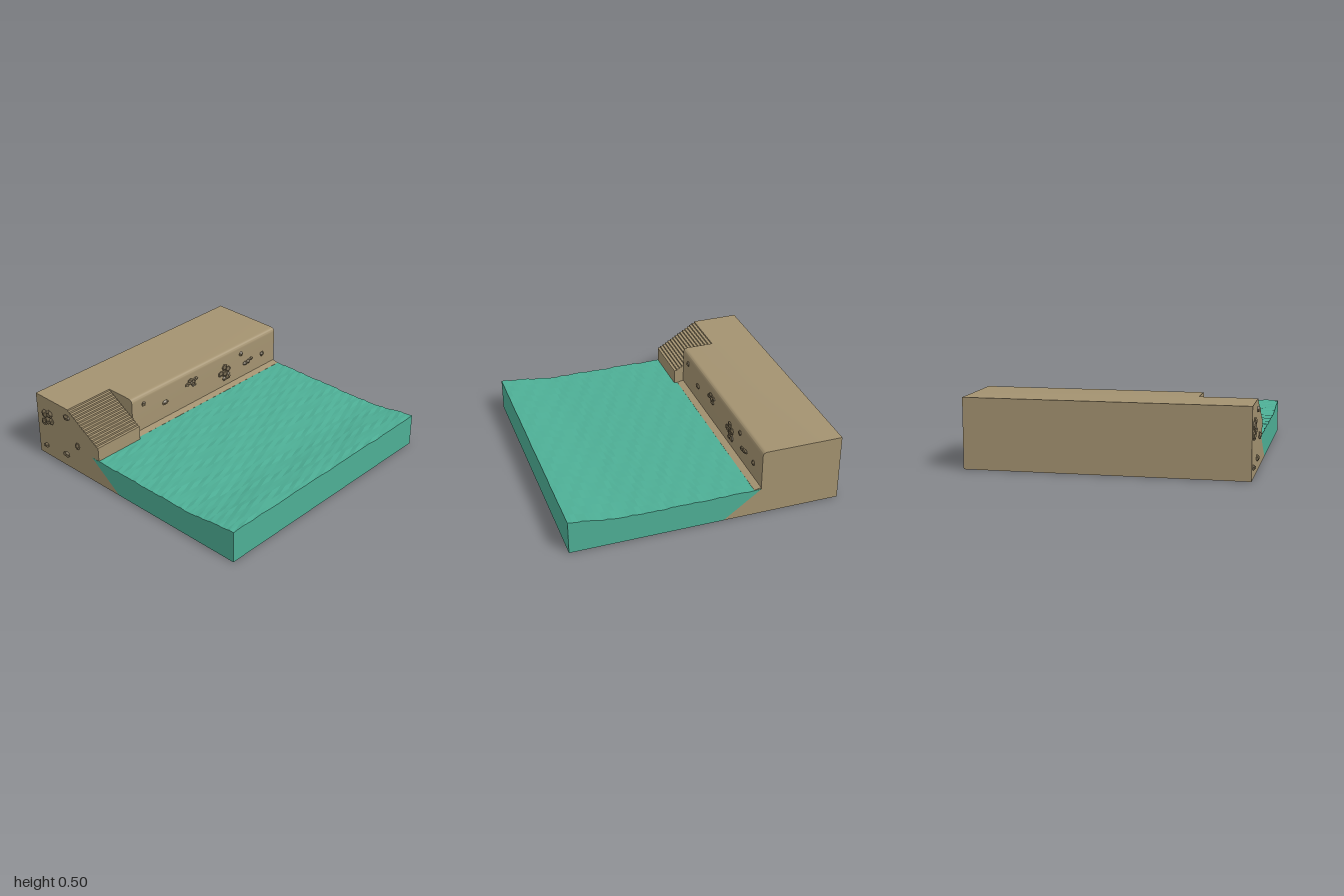
import * as THREE from 'three';
import { toCreasedNormals } from 'three/addons/utils/BufferGeometryUtils.js';

const LEFT = -0.98, RIGHT = 1, STAIR_X = -0.575;
const BACK = -0.99, FRONT = 0.99, WALL = -0.395;

const sand = new THREE.MeshStandardMaterial({ color: 0xa39270 });
const stone = new THREE.MeshStandardMaterial({ color: 0x75684f, flatShading: true });
const sea = new THREE.MeshStandardMaterial({ color: 0x4dae95, flatShading: true });

function addMesh(parent, name, geometry, material) {
  const mesh = new THREE.Mesh(geometry, material);
  mesh.name = name;
  parent.add(mesh);
  return mesh;
}

// Extrudes a side profile (drawn with -z to the right) from x0 to x1
function extrudeAlongX(shape, x0, x1) {
  const g = new THREE.ExtrudeGeometry(shape, { depth: x1 - x0, bevelEnabled: false, curveSegments: 8 });
  g.rotateY(Math.PI / 2).translate(x0, 0, 0);
  return toCreasedNormals(g, 0.5);
}

// Shared underwater part of the profile: base and sloping foot
function startProfile() {
  const s = new THREE.Shape();
  s.moveTo(-BACK, 0);
  s.lineTo(-BACK, 0.5);
  return s;
}
function endProfile(s) {
  s.lineTo(-WALL, 0.2);
  s.lineTo(0.12, 0);
  s.closePath();
  return s;
}

// Quay with a rounded front edge
function quayShape() {
  const s = startProfile(), r = 0.035;
  s.lineTo(-WALL + r, 0.5);
  s.quadraticCurveTo(-WALL, 0.5, -WALL, 0.5 - r);
  return endProfile(s);
}

// Quay end cut into a flight of steps
function stairShape() {
  const s = startProfile(), steps = 15, top = -0.635, foot = -0.32;
  const run = (foot - top) / steps, rise = 0.19 / steps;
  s.lineTo(-top, 0.5);
  for (let i = 1; i <= steps; i++) {
    s.lineTo(-(top + (i - 1) * run), 0.5 - i * rise);
    s.lineTo(-(top + i * run), 0.5 - i * rise);
  }
  s.lineTo(-foot, 0.2);
  return endProfile(s);
}

// Rippled water with a swell rising toward the front
function waterGeometry() {
  const g = new THREE.BoxGeometry(RIGHT - LEFT, 1, FRONT - WALL, 22, 1, 40);
  g.translate((LEFT + RIGHT) / 2, 0.5, (FRONT + WALL) / 2);
  const p = g.attributes.position;
  for (let i = 0; i < p.count; i++) {
    const x = p.getX(i), z = p.getZ(i);
    if (p.getY(i) > 0.5) {
      const swell = 0.045 * THREE.MathUtils.smoothstep(z, 0.55, 1.0);
      const ripple = Math.sin(x * 11 + z * 17) + Math.sin(x * 23 - z * 41 + 1) + Math.sin(x * 37 + z * 71 + 2);
      const calm = THREE.MathUtils.smoothstep(z, WALL, -0.25);
      p.setY(i, 0.199 + swell + 0.0022 * ripple * calm);
    } else {
      p.setZ(i, THREE.MathUtils.mapLinear(z, WALL, FRONT, -0.12, FRONT));
    }
  }
  g.computeVertexNormals();
  return g;
}

// Embedded stones: [across, height, half width, half height]
const wallStones = [
  [-0.46, 0.42, 0.02, 0.022], [-0.24, 0.34, 0.033, 0.02],
  [0.0, 0.39, 0.03, 0.017], [0.03, 0.415, 0.028, 0.018], [0.055, 0.385, 0.03, 0.022],
  [0.085, 0.41, 0.026, 0.017], [0.065, 0.365, 0.025, 0.014],
  [0.37, 0.33, 0.032, 0.028], [0.41, 0.375, 0.03, 0.03], [0.45, 0.345, 0.03, 0.03],
  [0.415, 0.315, 0.03, 0.028], [0.45, 0.285, 0.03, 0.033], [0.41, 0.275, 0.022, 0.02],
  [0.6, 0.42, 0.02, 0.022], [0.65, 0.318, 0.028, 0.018], [0.685, 0.322, 0.028, 0.02],
  [0.715, 0.333, 0.023, 0.014], [0.85, 0.325, 0.022, 0.022],
];
const endStones = [
  [-0.9, 0.36, 0.035, 0.035], [-0.85, 0.375, 0.035, 0.035], [-0.87, 0.315, 0.035, 0.035],
  [-0.91, 0.29, 0.03, 0.03], [-0.83, 0.32, 0.025, 0.03],
  [-0.65, 0.43, 0.035, 0.025], [-0.545, 0.23, 0.022, 0.03],
  [-0.68, 0.1, 0.035, 0.025], [-0.91, 0.08, 0.028, 0.02],
];

function stoneGroup(name, list) {
  const group = new THREE.Group();
  group.name = name;
  list.forEach(([a, y, w, h], i) => {
    const g = new THREE.DodecahedronGeometry(1);
    g.rotateZ(i * 1.3).rotateX(i * 0.7).scale(w, h, 0.018);
    addMesh(group, 'stone', g, stone).position.set(a, y, 0);
  });
  return group;
}

export function createModel() {
  const model = new THREE.Group();
  model.name = 'harbourQuay';

  addMesh(model, 'quay', extrudeAlongX(quayShape(), STAIR_X, RIGHT), sand);
  addMesh(model, 'stairs', extrudeAlongX(stairShape(), LEFT, STAIR_X), sand);
  addMesh(model, 'water', waterGeometry(), sea);

  // Narrow sloping shore at the foot of the wall
  const shore = new THREE.Shape([
    new THREE.Vector2(0.4, 0.19), new THREE.Vector2(0.4, 0.212),
    new THREE.Vector2(0.345, 0.2), new THREE.Vector2(0.345, 0.19),
  ]);
  addMesh(model, 'shore', extrudeAlongX(shore, STAIR_X, RIGHT - 0.004), sand);

  const front = stoneGroup('wallStones', wallStones);
  front.position.z = WALL - 0.002;
  const end = stoneGroup('endStones', endStones);
  end.rotation.y = -Math.PI / 2;
  end.position.x = LEFT - 0.002;
  model.add(front, end);
  return model;
}
